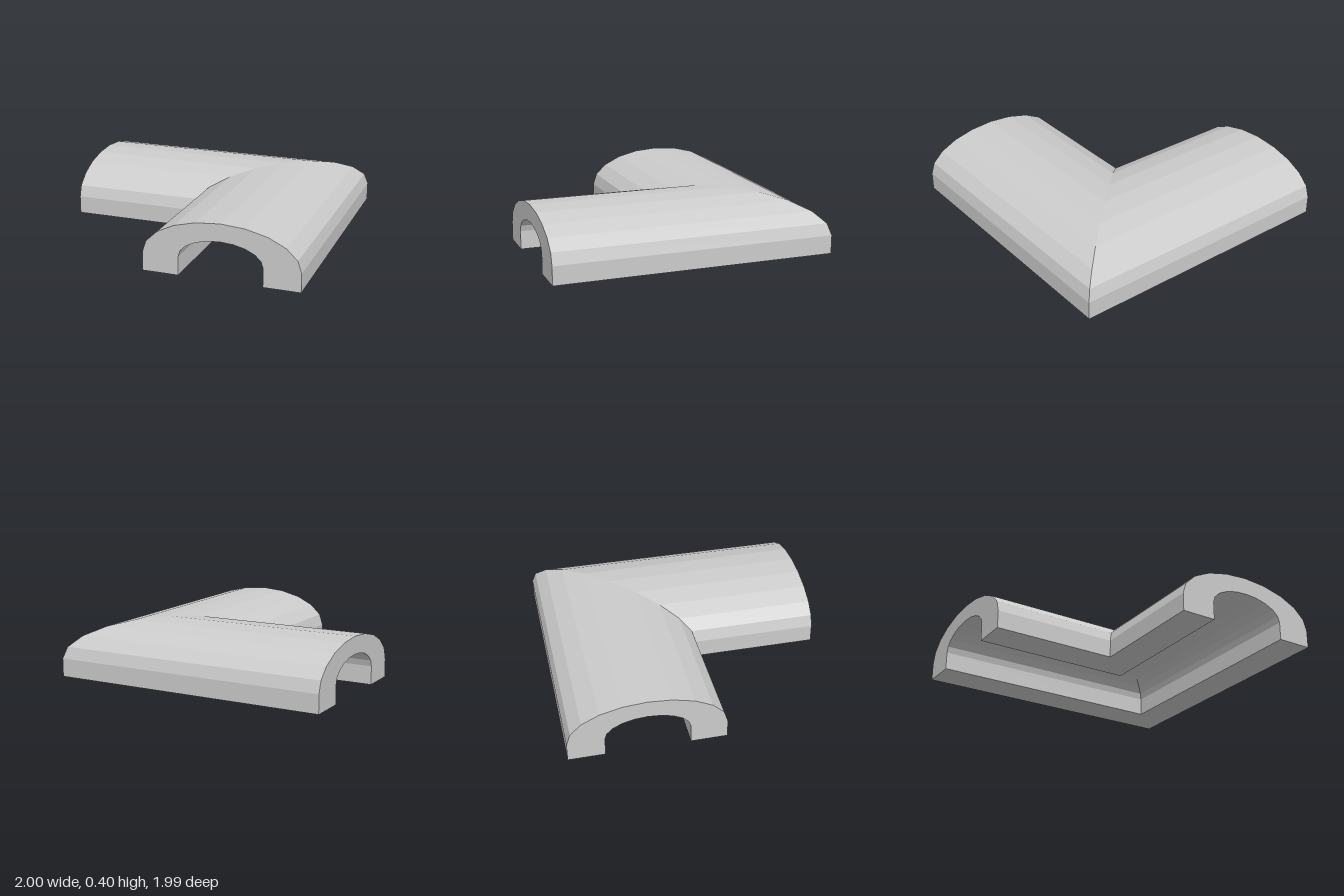
import * as THREE from 'three';

const SEGMENTS = 10;   // facets across the arch
const CENTER = 0.455;  // middle of the cross-section
const SPRING = 0.13;   // height where the arch starts

// Half-ellipse arch on straight feet, from the outer (+) side over to the inner (-) side
function arch(radius, rise) {
  const points = [[CENTER + radius, 0]];
  for (let i = 0; i <= SEGMENTS; i++) {
    const a = (i / SEGMENTS) * Math.PI;
    points.push([CENTER + radius * Math.cos(a), SPRING + rise * Math.sin(a)]);
  }
  points.push([CENTER - radius, 0]);
  return points;
}

export function createModel() {
  const group = new THREE.Group();
  group.name = 'cornerCover';

  const outer = arch(0.545, 0.265);
  const inner = arch(0.291, 0.142);
  const profile = [...outer, ...inner.slice().reverse()];
  const n = profile.length;

  // Cross-sections along the path: left end, mitred corner, front end
  const stations = [
    ([u, y]) => [-1, y, 0.007 - u],
    ([u, y]) => [u, y, 0.007 - u],
    ([u, y]) => [u, y, 0.993],
  ];
  const positions = stations.flatMap((place) => profile.flatMap((p) => place(p)));
  const index = [];
  const quad = (a, b, c, d) => index.push(a, b, c, a, c, d);

  // Outer shell, inner channel and flat feet
  for (let s = 0; s < 2; s++) {
    for (let i = 0; i < n; i++) {
      const j = (i + 1) % n;
      quad(s * n + i, s * n + j, (s + 1) * n + j, (s + 1) * n + i);
    }
  }

  // End faces between the outer and inner arches
  for (let k = 0; k < outer.length - 1; k++) {
    const f = 2 * n;
    quad(f + k, f + k + 1, f + n - 2 - k, f + n - 1 - k);
    quad(k, n - 1 - k, n - 2 - k, k + 1);
  }

  const indexed = new THREE.BufferGeometry();
  indexed.setAttribute('position', new THREE.Float32BufferAttribute(positions, 3));
  indexed.setIndex(index);
  const geometry = indexed.toNonIndexed();
  geometry.computeVertexNormals();

  const mesh = new THREE.Mesh(
    geometry,
    new THREE.MeshStandardMaterial({ color: 0xcccccc, flatShading: true })
  );
  mesh.name = 'mitredArchChannel';
  group.add(mesh);
  return group;
}
